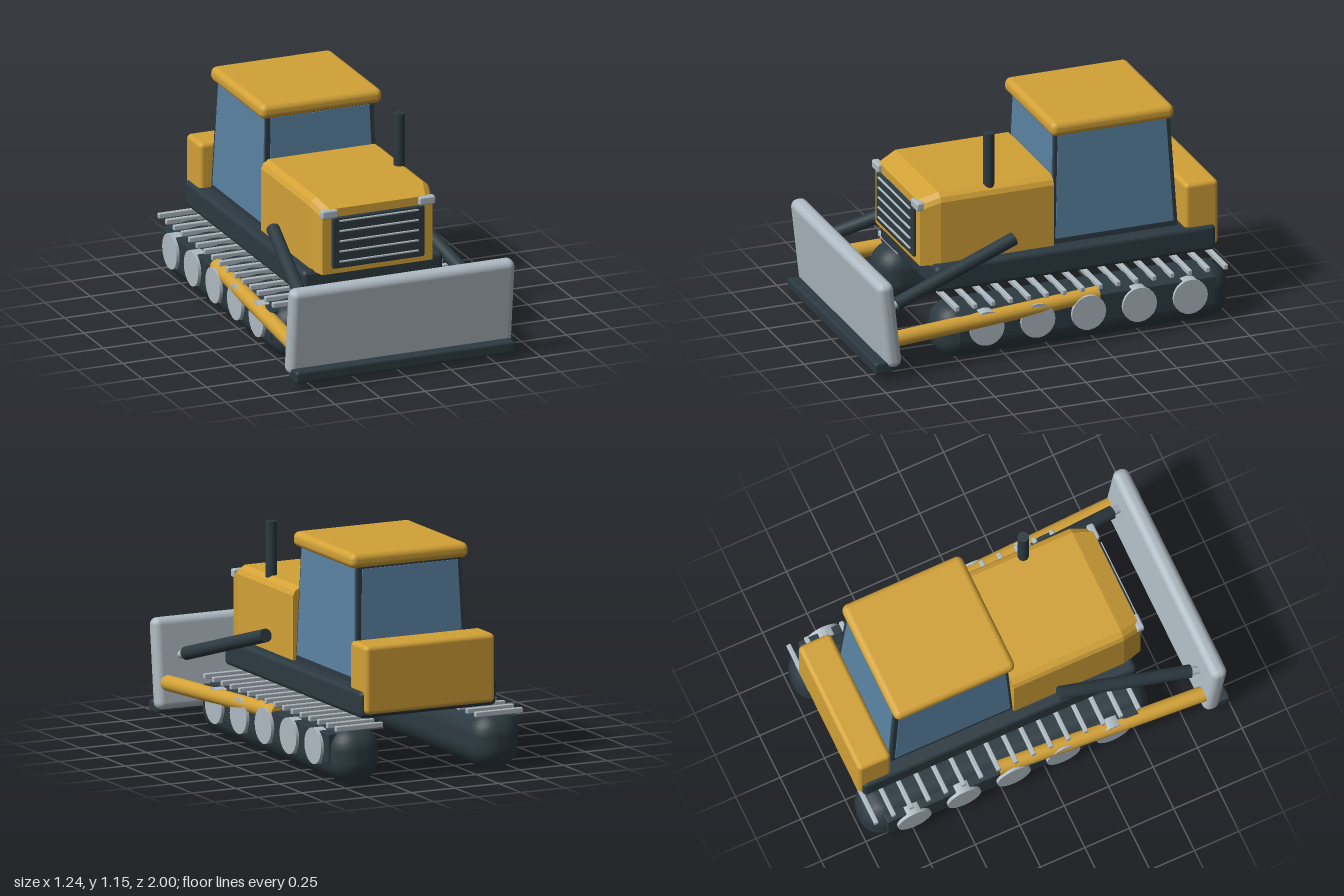
import * as THREE from 'three';
import { RoundedBoxGeometry } from 'three/addons/geometries/RoundedBoxGeometry.js';
import { ConvexGeometry } from 'three/addons/geometries/ConvexGeometry.js';

const material = (name, color) => {
  const m = new THREE.MeshStandardMaterial({ color });
  m.name = name;
  return m;
};

export function createModel() {
  const yellow = material('yellow paint', 0xd3a237);
  const dark = material('dark steel', 0x2c3a41);
  const glass = material('window glass', 0x5a82a2);
  const silver = material('bare metal', 0xafbac2);

  const model = new THREE.Group();
  model.name = 'bulldozer';

  const add = (name, geometry, mat, parent = model) => {
    const mesh = new THREE.Mesh(geometry, mat);
    mesh.name = name;
    parent.add(mesh);
    return mesh;
  };

  // Rounded box given by its min and max on each axis
  const box = (name, mat, [x0, x1], [y0, y1], [z0, z1], radius, parent, segments = 2) => {
    const mesh = add(name, new RoundedBoxGeometry(x1 - x0, y1 - y0, z1 - z0, segments, radius), mat, parent);
    mesh.position.set((x0 + x1) / 2, (y0 + y1) / 2, (z0 + z1) / 2);
    return mesh;
  };

  // Cylinder running between two points
  const rod = (name, mat, from, to, radius, parent) => {
    const a = new THREE.Vector3(...from), b = new THREE.Vector3(...to);
    const mesh = add(name, new THREE.CylinderGeometry(radius, radius, a.distanceTo(b), 20), mat, parent);
    mesh.position.copy(a).add(b).multiplyScalar(0.5);
    mesh.quaternion.setFromUnitVectors(new THREE.Vector3(0, 1, 0), b.sub(a).normalize());
    return mesh;
  };

  // Convex solid, mirrored in x, from corner points on its left half
  const solid = (name, mat, points) => add(name, new ConvexGeometry(
    points.flatMap(([x, y, z]) => [new THREE.Vector3(x, y, z), new THREE.Vector3(-x, y, z)])), mat);

  // Chassis and rear counterweight
  box('chassis', dark, [-0.39, 0.39], [0.34, 0.48], [-0.96, 0.58], 0.025);
  box('counterweight', yellow, [-0.372, 0.372], [0.36, 0.72], [-0.98, -0.795], 0.025);

  // Hood with bevelled top edges and tapered nose
  const section = (z, w, top) => [
    [w, 0.47, z], [w, top - 0.045, z], [w - 0.012, top - 0.02, z], [w - 0.04, top, z]];
  solid('hood', yellow, [
    ...section(-0.09, 0.335, 0.86), ...section(0.53, 0.335, 0.86), ...section(0.635, 0.305, 0.82)]);

  // Grille, slats and headlights
  box('grille', dark, [-0.255, 0.255], [0.5, 0.775], [0.62, 0.652], 0.008);
  for (let i = 0; i < 5; i++) {
    const y = 0.757 - i * 0.055;
    box('grilleSlat', silver, [-0.22, 0.22], [y - 0.005, y + 0.005], [0.645, 0.66], 0.003);
  }
  for (const s of [-1, 1]) {
    box('headlight', silver, [s * 0.27 - 0.045, s * 0.27 + 0.045], [0.775, 0.82], [0.615, 0.655], 0.01);
  }
  rod('exhaustPipe', dark, [0.286, 0.83, 0.25], [0.286, 1.14, 0.25], 0.029);

  // Cab: tapered frame, with glass standing just proud of each wall
  const cab = (name, mat, x, front, back, y0, y1) => {
    const ring = (y) => {
      const t = (y - 0.48) / 0.6;
      const w = 0.318 - 0.02 * t + x;
      return [[w, y, -0.09 - 0.02 * t + front], [w, y, -0.775 + 0.035 * t - back]];
    };
    solid(name, mat, [...ring(y0), ...ring(y1)]);
  };
  cab('cabFrame', dark, 0, 0, 0, 0.48, 1.1);
  cab('sideWindows', glass, 0.005, -0.014, -0.022, 0.51, 1.072);
  cab('frontAndRearWindows', glass, -0.025, 0.005, 0.005, 0.51, 1.072);
  box('cabRoof', yellow, [-0.338, 0.338], [1.075, 1.155], [-0.755, -0.078], 0.034, model, 3);

  // Blade, leaning forward at the top, with its cutting edge
  const blade = box('blade', silver, [-0.622, 0.622], [0.063, 0.537], [0.875, 0.963], 0.038, model, 3);
  blade.rotation.x = 0.11;
  box('cuttingEdge', dark, [-0.608, 0.608], [0.04, 0.104], [0.9, 1.0], 0.014);

  // Crawler tracks and blade linkage on both sides
  for (const s of [-1, 1]) {
    const side = new THREE.Group();
    side.name = s > 0 ? 'leftTrack' : 'rightTrack';
    model.add(side);
    const span = (a, b) => (s > 0 ? [a, b] : [-b, -a]);

    box('trackBelt', dark, span(0.265, 0.535), [0, 0.297], [-0.998, 0.612], 0.12, side, 3);
    box('trackFrame', dark, span(0.48, 0.543), [0.11, 0.265], [-0.895, 0.515], 0.005, side);

    for (let i = 0; i < 16; i++) {
      const z = -0.955 + i * 0.0983;
      box('trackCleat', silver, span(0.265, 0.535), [0.288, 0.316], [z - 0.012, z + 0.012], 0.005, side);
    }
    for (let i = 0; i < 5; i++) {
      const z = 0.365 - i * 0.279;
      rod('roadWheel', silver, [s * 0.5, 0.18, z], [s * 0.56, 0.18, z], 0.094, side);
    }

    rod('pushArm', yellow, [s * 0.505, 0.255, -0.26], [s * 0.565, 0.205, 0.89], 0.041, side);
    rod('liftCylinder', dark, [s * 0.37, 0.57, 0.145], [s * 0.475, 0.358, 0.835], 0.035, side);
    rod('liftRod', silver, [s * 0.45, 0.408, 0.67], [s * 0.485, 0.338, 0.9], 0.021, side);
  }

  return model;
}
